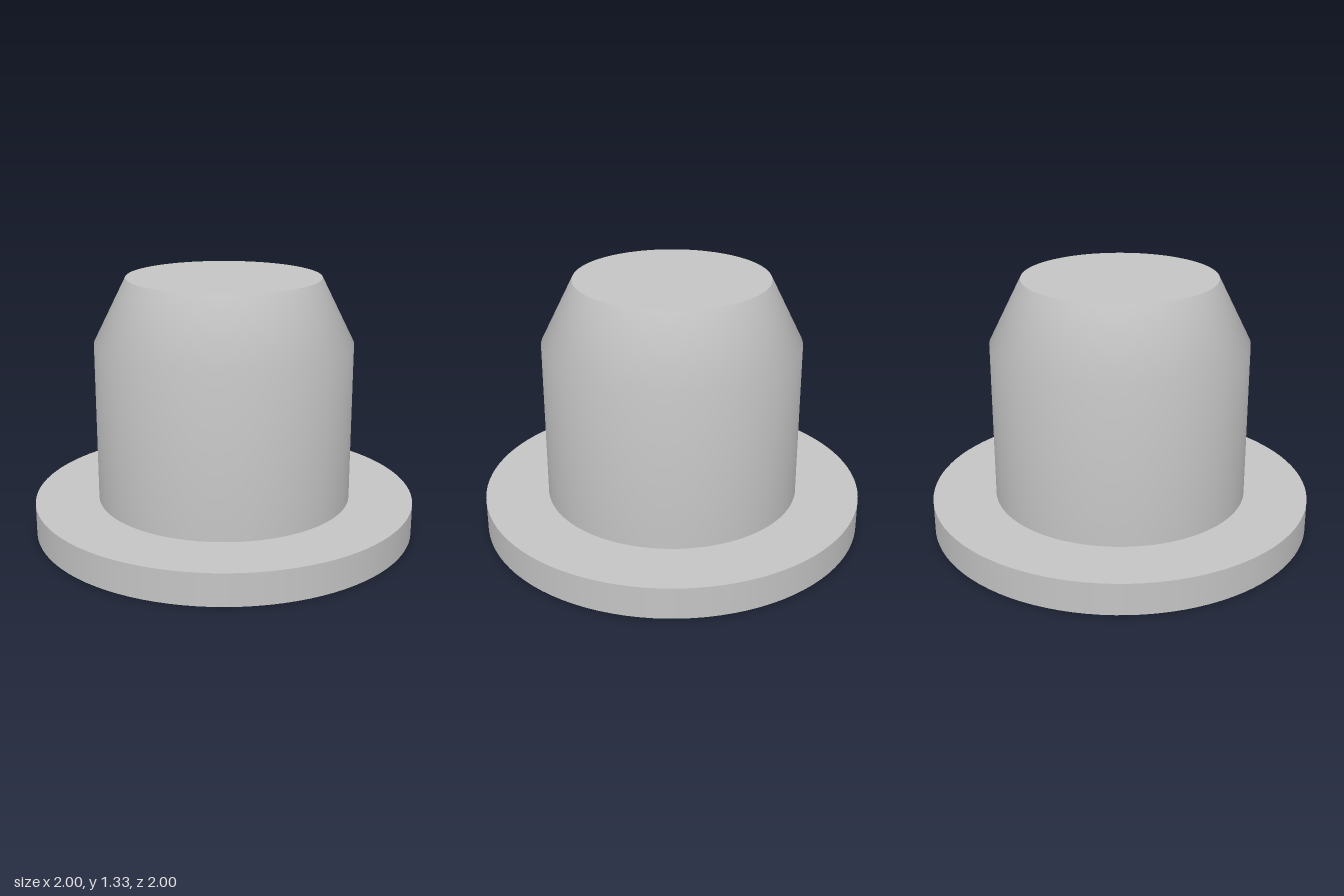
import * as THREE from 'three';

const SEGMENTS = 96;

export function createModel() {
  const group = new THREE.Group();
  group.name = 'flangedPlug';
  const grey = new THREE.MeshStandardMaterial({ color: 0xc4c4c4 });
  grey.name = 'light grey';

  const add = (name, geometry, y = 0) => {
    const mesh = new THREE.Mesh(geometry, grey);
    mesh.name = name;
    mesh.position.y = y;
    group.add(mesh);
    return mesh;
  };

  // Wide disc at the bottom
  const flangeHeight = 0.167;
  add('flange', new THREE.CylinderGeometry(1, 1, flangeHeight, SEGMENTS), flangeHeight / 2);

  // Straight wall blending smoothly into the tapered shoulder
  const topY = 1.333, topRadius = 0.5, bodyRadius = 0.667;
  const profile = [
    new THREE.Vector2(bodyRadius, flangeHeight),
    new THREE.Vector2(bodyRadius, 1),
    new THREE.Vector2(topRadius, topY),
  ];
  add('body', new THREE.LatheGeometry(profile, SEGMENTS));

  // Flat top with a sharp rim
  const cap = new THREE.CircleGeometry(topRadius, SEGMENTS).rotateX(-Math.PI / 2);
  add('topCap', cap, topY);

  return group;
}
